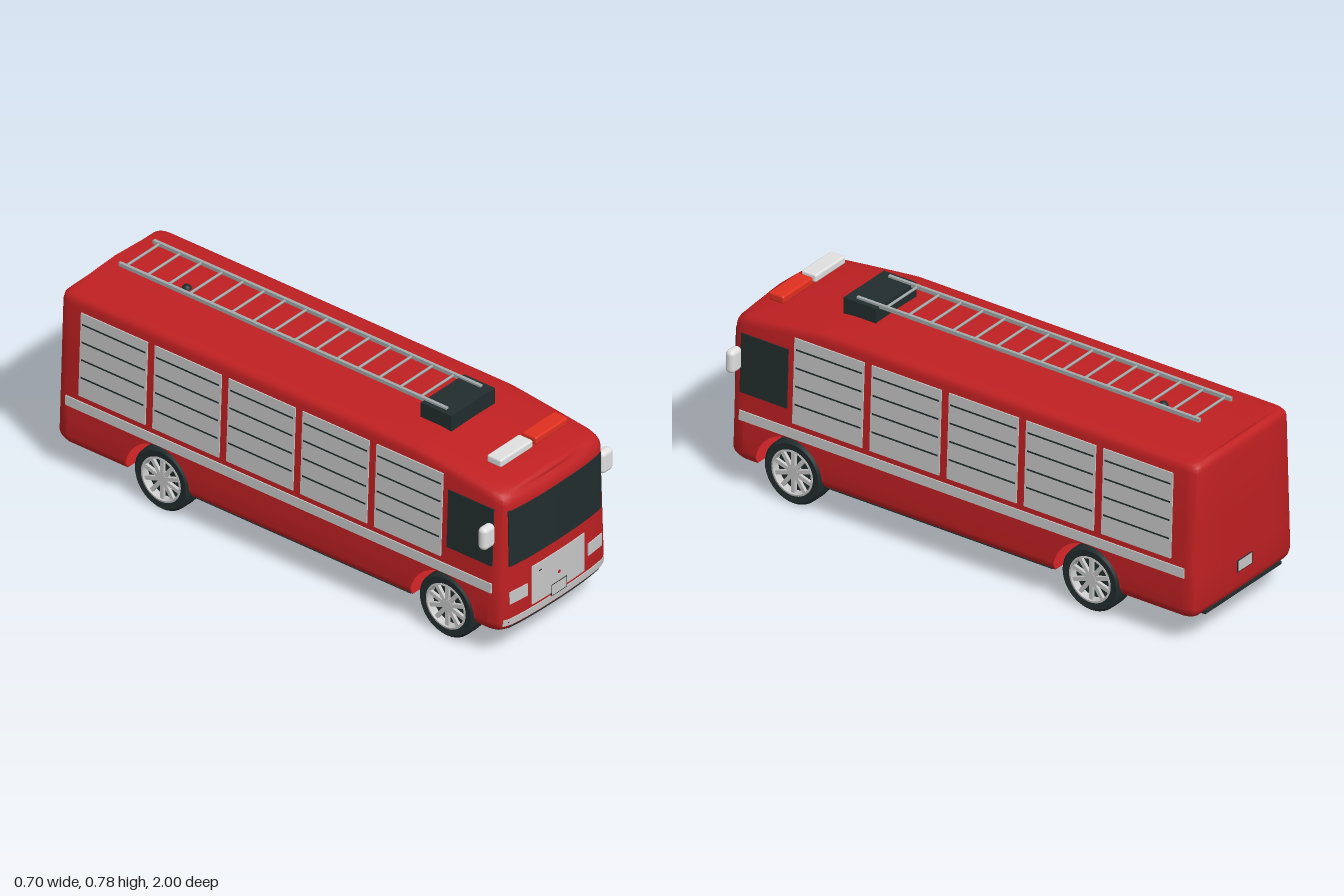
import * as THREE from 'three';
import { toCreasedNormals } from 'three/addons/utils/BufferGeometryUtils.js';
import { RoundedBoxGeometry } from 'three/addons/geometries/RoundedBoxGeometry.js';

const mat = (name, color, side = THREE.FrontSide) => {
  const m = new THREE.MeshStandardMaterial({ color, side });
  m.name = name;
  return m;
};
const red = mat('body red', 0xc02022, THREE.DoubleSide);
const silver = mat('silver panel', 0xc8c8c8);
const dark = mat('dark glass and rubber', 0x222d2e);
const white = mat('white', 0xe0e0e0);
const beacon = mat('beacon red', 0xe03020);
const metal = mat('ladder metal', 0xa4aaaa);

// Linear interpolation in a table of [key, value] with rising keys
function interp(table, k) {
  for (let i = 1; i < table.length; i++) {
    const [a, va] = table[i - 1], [b, vb] = table[i];
    if (k <= b) return va + (vb - va) * Math.max(0, (k - a) / (b - a));
  }
  return table[table.length - 1][1];
}

// Plan curves of nose and tail: [share of half width, z]; roof edge: [z, y]
const NOSE = [[0, 0.995], [0.3, 0.994], [0.6, 0.99], [0.85, 0.982], [0.9, 0.976], [0.96, 0.965], [0.99, 0.945], [1, 0.92]];
const TAIL = [[0, -1], [0.5, -0.999], [0.9, -0.997], [0.96, -0.988], [0.99, -0.972], [1, -0.95]];
const ROOF = [[-1, 0.707], [0.58, 0.707], [0.72, 0.69], [0.9, 0.668], [0.96, 0.655], [1, 0.63]];
const WHEELS = [0.721, -0.544];
const AXLE_Y = 0.122, ARCH_R = 0.143, SILL = 0.115, BELT = 0.28;

const tuck = y => (y < 0.15 ? 0.016 * ((0.15 - y) / 0.035) ** 2 : 0);
const halfWidth = y => 0.292 - tuck(y) - 0.042 * Math.max(0, y - 0.15);
const noseZ = (x, y) => interp(NOSE, Math.abs(x) / halfWidth(y)) * (1 - tuck(y));

// Surface through rows of points
function surface(rows) {
  const n = rows[0].length, index = [];
  for (let r = 0; r < rows.length - 1; r++)
    for (let c = 0; c < n - 1; c++) {
      const a = r * n + c;
      index.push(a, a + 1, a + n, a + 1, a + n + 1, a + n);
    }
  const g = new THREE.BufferGeometry().setFromPoints(rows.flat());
  g.setIndex(index);
  return toCreasedNormals(g, 0.6);
}

function add(parent, name, geometry, material, x = 0, y = 0, z = 0) {
  const m = new THREE.Mesh(geometry, material);
  m.name = name;
  m.position.set(x, y, z);
  parent.add(m);
  return m;
}

const box = (w, h, d) => new THREE.BoxGeometry(w, h, d);

function bend(g, rule) {
  const p = g.attributes.position, v = new THREE.Vector3();
  for (let i = 0; i < p.count; i++) {
    rule(v.fromBufferAttribute(p, i));
    p.setXYZ(i, v.x, v.y, v.z);
  }
  g.computeVertexNormals();
  return g;
}

// Thin plate lying on a flank
function flankPlate(parent, name, material, side, z0, z1, y0, y1, lift = 0.001) {
  const g = box(0.007, y1 - y0, z1 - z0).translate(0, (y0 + y1) / 2, (z0 + z1) / 2);
  add(parent, name, bend(g, v => { v.x += side * (halfWidth(v.y) + lift); }), material);
}

// Thin plate following the curved nose
function nosePlate(parent, name, material, x0, x1, y0, y1, lift = 0.001) {
  const g = new THREE.BoxGeometry(x1 - x0, y1 - y0, 0.006, 16, 1, 1).translate((x0 + x1) / 2, (y0 + y1) / 2, 0);
  add(parent, name, bend(g, v => { v.z += noseZ(v.x, v.y) + lift; }), material);
}

function buildBody() {
  const body = new THREE.Group();
  body.name = 'body';
  const mirrored = half => [...half.slice().reverse(), ...half.slice(1).map(([u, z]) => [-u, z])];
  const nose = mirrored(NOSE);
  const tail = mirrored(TAIL).reverse();
  const flankZ = [0.8, 0.72, 0.65, 0.58, 0.3, 0, -0.3, -0.6];
  const plan = [...nose, ...flankZ.map(z => [-1, z]), ...tail, ...flankZ.slice().reverse().map(z => [1, z]), nose[0]];
  const wallRow = (part, y) => part.map(([u, z]) => new THREE.Vector3(u * halfWidth(y), y, z * (1 - tuck(y))));

  // Walls above the belt, rounded roof edge and crowned roof
  const roofRow = (drop, inset, s = 1) => plan.map(([u, z0]) => {
    const z = z0 * (1 - inset), y = interp(ROOF, z) - drop;
    return new THREE.Vector3(u * s * (halfWidth(y) - inset), y + 0.013 * (1 - s * s), z);
  });
  const rows = [wallRow(plan, BELT), wallRow(plan, 0.45)];
  for (const [drop, inset] of [[0.032, 0], [0.016, 0.003], [0.006, 0.01], [0, 0.022]]) rows.push(roofRow(drop, inset));
  for (const s of [0.75, 0.4, 0]) rows.push(roofRow(0, 0.022, s));
  add(body, 'upperShell', surface(rows), red);

  // Lower nose and tail, tucked under at the sill
  const lowY = [SILL, 0.122, 0.133, 0.15, BELT];
  add(body, 'lowerNose', surface(lowY.map(y => wallRow(nose, y))), red);
  add(body, 'lowerTail', surface(lowY.map(y => wallRow(tail, y))), red);

  // Lower flanks with open wheel arches
  const columns = [[0.92, SILL]];
  for (const zc of WHEELS)
    for (let i = 0; i <= 20; i++) {
      const a = (i / 20) * Math.PI;
      columns.push([zc + ARCH_R * Math.cos(a), i % 20 ? AXLE_Y + ARCH_R * Math.sin(a) : SILL]);
    }
  columns.push([-0.95, SILL]);
  const flankRow = (side, t) => columns.map(([z, y0]) => {
    const y = y0 + (BELT - y0) * t;
    return new THREE.Vector3(side * halfWidth(y), y, z);
  });
  for (const side of [1, -1])
    add(body, 'lowerFlank', surface([0, 0.05, 0.11, 0.21, 0.6, 1].map(t => flankRow(side, t))), red);

  // Floor with notches for the wheels
  const edge = [[0.25, -0.978], [0.276, -0.94]];
  for (const zc of [WHEELS[1], WHEELS[0]])
    edge.push([0.276, zc - ARCH_R], [0.185, zc - ARCH_R], [0.185, zc + ARCH_R], [0.276, zc + ARCH_R]);
  edge.push([0.276, 0.915], [0.255, 0.955], [0.15, 0.972]);
  const outline = [...edge, ...edge.slice().reverse().map(([x, z]) => [-x, z])];
  const floor = new THREE.ShapeGeometry(new THREE.Shape(outline.map(([x, z]) => new THREE.Vector2(x, z))));
  add(body, 'floor', floor.rotateX(Math.PI / 2), red, 0, SILL + 0.001, 0);
  return body;
}

function buildWheel() {
  const wheel = new THREE.Group();
  wheel.name = 'wheel';
  const lathe = pts => toCreasedNormals(
    new THREE.LatheGeometry(pts.map(([r, y]) => new THREE.Vector2(r, y)), 40).rotateZ(-Math.PI / 2), 0.6);
  // Tyre with tread grooves
  const tread = [];
  for (const y of [-0.018, 0, 0.018])
    tread.push([0.122, y - 0.003], [0.117, y - 0.002], [0.117, y + 0.002], [0.122, y + 0.003]);
  add(wheel, 'tyre', lathe([[0.086, -0.04], [0.112, -0.0425], [0.121, -0.034], ...tread,
    [0.121, 0.034], [0.112, 0.0425], [0.086, 0.04], [0.086, -0.04]]), dark);
  add(wheel, 'rim', lathe([[0.078, -0.038], [0.088, -0.041], [0.088, 0.042], [0.081, 0.043], [0.078, 0.03], [0.078, -0.038]]), silver);
  const disc = (r, h) => new THREE.CylinderGeometry(r, r, h, 24).rotateZ(-Math.PI / 2);
  add(wheel, 'brakeDisc', disc(0.0785, 0.006), dark, 0.01);
  add(wheel, 'hub', disc(0.022, 0.05), silver, 0.012);
  for (let i = 0; i < 10; i++)
    add(wheel, 'spoke', box(0.012, 0.062, 0.015).translate(0.03, 0.05, 0), silver).rotation.x = (i / 10) * Math.PI * 2;
  return wheel;
}

function buildLadder() {
  const ladder = new THREE.Group();
  ladder.name = 'ladder';
  for (const x of [-0.092, 0.092]) add(ladder, 'rail', box(0.012, 0.014, 1.455), metal, x, 0.775, -0.15);
  for (let i = 0; i < 15; i++)
    add(ladder, 'rung', new THREE.CylinderGeometry(0.005, 0.005, 0.18, 8).rotateZ(Math.PI / 2), metal, 0, 0.775, -0.851 + i * 0.0934);
  add(ladder, 'turntable', box(0.234, 0.065, 0.137), dark, 0, 0.742, 0.549);
  add(ladder, 'rearRest', new THREE.SphereGeometry(0.018, 16, 8), dark, 0, 0.718, -0.655);
  return ladder;
}

export function createModel() {
  const model = new THREE.Group();
  model.name = 'fireEngine';
  model.add(buildBody(), buildLadder());

  for (const side of [1, -1]) {
    // Roller shutters with slat lines
    for (let i = 0; i < 5; i++) {
      const z1 = 0.71 - i * 0.328, z0 = z1 - 0.296;
      flankPlate(model, 'shutter', silver, side, z0, z1, 0.328, 0.656);
      for (let k = 0; k < 4; k++)
        flankPlate(model, 'slatLine', dark, side, z0 + 0.008, z1 - 0.008, 0.4 + k * 0.07, 0.406 + k * 0.07, 0.002);
    }
    flankPlate(model, 'sideWindow', dark, side, 0.735, 0.935, 0.376, 0.602);
    flankPlate(model, 'sideStripe', silver, side, -0.955, 0.935, 0.269, 0.306);
    flankPlate(model, 'sillTrim', dark, side, -0.39, 0.57, 0.115, 0.121, 0);

    // Wheels
    for (const z of WHEELS) {
      const wheel = buildWheel();
      wheel.position.set(side * 0.2325, AXLE_Y, z);
      if (side < 0) wheel.rotation.y = Math.PI;
      model.add(wheel);
    }

    // Mirrors on slanted arms
    add(model, 'mirror', new RoundedBoxGeometry(0.062, 0.09, 0.038, 5, 0.018), white, side * 0.317, 0.515, 0.938);
    const arm = new THREE.LineCurve3(new THREE.Vector3(side * 0.27, 0.455, 0.93), new THREE.Vector3(side * 0.305, 0.495, 0.935));
    add(model, 'mirrorArm', new THREE.TubeGeometry(arm, 1, 0.006, 8), dark);

    // Headlights and wipers
    const lampX = side * 0.205, wiperX = side * 0.11;
    nosePlate(model, 'headlight', silver, lampX - 0.042, lampX + 0.042, 0.223, 0.271);
    nosePlate(model, 'wiper', dark, wiperX - 0.1, wiperX + 0.1, 0.38, 0.386, 0.002);
  }

  // Nose details
  nosePlate(model, 'windscreen', dark, -0.248, 0.248, 0.375, 0.598);
  nosePlate(model, 'frontPanel', silver, -0.141, 0.141, 0.175, 0.328);
  nosePlate(model, 'bumperStripe', silver, -0.27, 0.27, 0.138, 0.164);
  nosePlate(model, 'bumperTrim', dark, -0.24, 0.24, 0.12, 0.126, 0);
  nosePlate(model, 'frontPlateFrame', dark, -0.042, 0.042, 0.161, 0.207, 0.0015);
  nosePlate(model, 'frontPlate', silver, -0.039, 0.039, 0.164, 0.204, 0.002);
  nosePlate(model, 'panelHandle', dark, -0.107, -0.092, 0.295, 0.299, 0.002);
  add(model, 'noseBadge', new THREE.CylinderGeometry(0.007, 0.007, 0.004, 12).rotateX(Math.PI / 2), red, 0, 0.243, 0.998);

  // Tail details
  add(model, 'rearPlateFrame', box(0.084, 0.046, 0.004), dark, 0, 0.22, -1);
  add(model, 'rearPlate', box(0.078, 0.04, 0.005), silver, 0, 0.22, -1.0005);
  add(model, 'rearTrim', box(0.44, 0.012, 0.02), dark, 0, 0.117, -0.985);

  // Light bar
  for (const [name, material, x] of [['whiteLamp', white, -0.094], ['redLamp', beacon, 0.094]])
    add(model, name, new RoundedBoxGeometry(0.174, 0.031, 0.064, 3, 0.008), material, x, 0.72, 0.858);
  return model;
}
